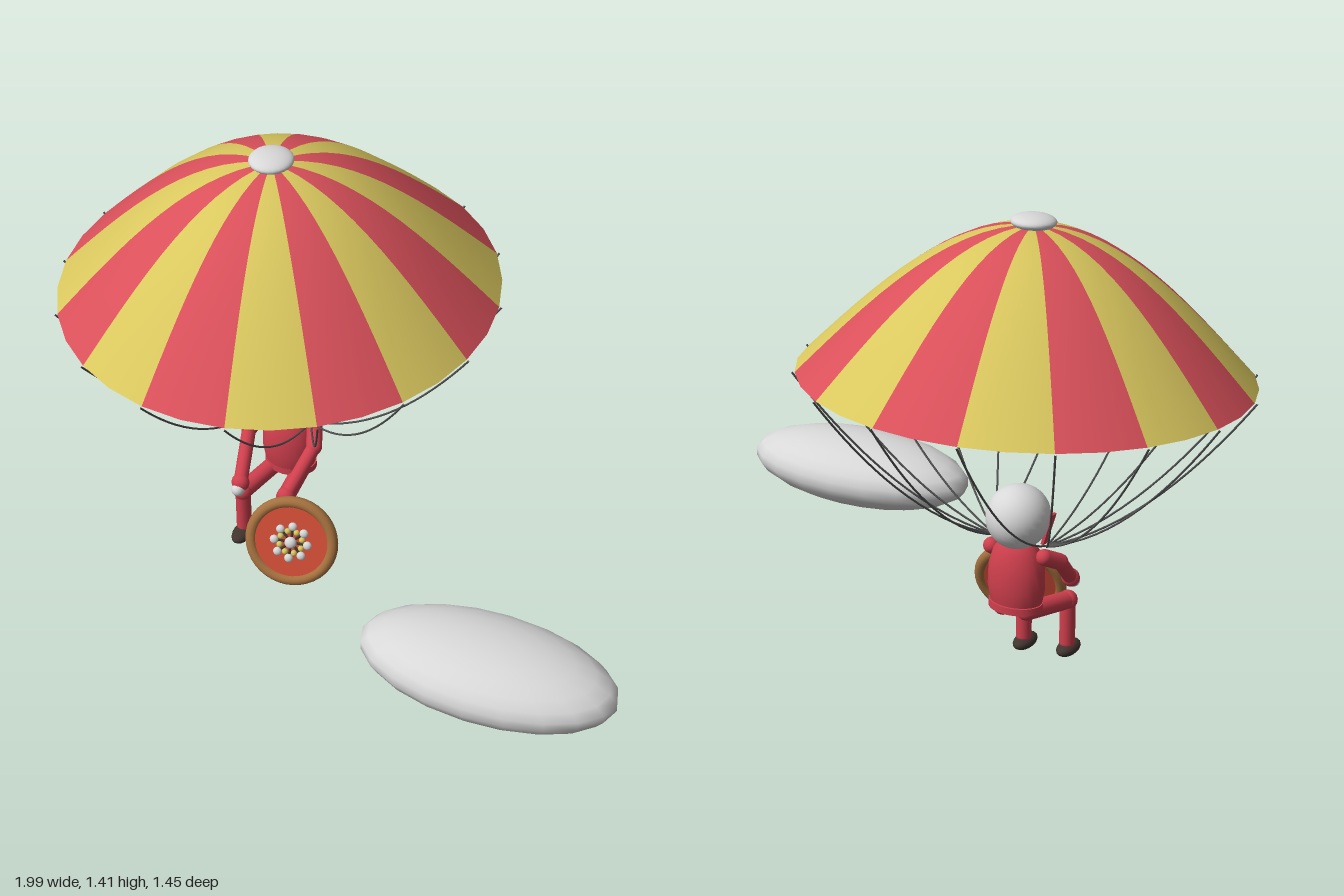
import * as THREE from 'three';

const V = (x, y, z) => new THREE.Vector3(x, y, z);
const mat = (name, color, side = THREE.FrontSide) => {
  const m = new THREE.MeshStandardMaterial({ color, side });
  m.name = name;
  return m;
};

export function createModel() {
  const M = {
    red: mat('canopy red', 0xd9505a, THREE.DoubleSide),
    yellow: mat('canopy yellow', 0xd9c75e, THREE.DoubleSide),
    white: mat('soft white', 0xd8d8d8),
    suit: mat('suit red', 0xcf3f4d),
    cord: mat('cord grey', 0x555555),
    dark: mat('dark brown', 0x41352f),
    wood: mat('shield brown', 0xa5713f),
    shield: mat('shield orange', 0xcf4b36),
  };
  const root = new THREE.Group();
  root.name = 'parachutist';

  const add = (parent, name, geo, material, pos) => {
    const mesh = new THREE.Mesh(geo, material);
    mesh.name = name;
    if (pos) mesh.position.copy(pos);
    parent.add(mesh);
    return mesh;
  };
  const ball = (parent, name, material, pos, rx, ry = rx, rz = rx, seg = 24) => {
    const mesh = add(parent, name, new THREE.SphereGeometry(1, seg, Math.round(seg * 0.67)), material, pos);
    mesh.scale.set(rx, ry, rz);
    return mesh;
  };
  // Rounded limb between two points
  const limb = (parent, name, material, a, b, r) => {
    const mesh = add(parent, name, new THREE.CapsuleGeometry(r, a.distanceTo(b), 6, 14), material,
      a.clone().add(b).multiplyScalar(0.5));
    mesh.quaternion.setFromUnitVectors(V(0, 1, 0), b.clone().sub(a).normalize());
    return mesh;
  };

  // Canopy: sixteen gores on a slightly tilted dome
  const R = 0.665, H = 0.442, GORES = 16, step = Math.PI * 2 / GORES;
  const canopy = new THREE.Group();
  canopy.name = 'canopy';
  canopy.position.set(-0.331, 0.932, -0.065);
  canopy.rotation.set(0.049, 0.016, 0.01);
  root.add(canopy);
  const profile = [];
  for (let i = 0; i <= 14; i++) {
    const t = 1 - i / 14;
    profile.push(new THREE.Vector2(Math.max(R * t, 0.001), H * Math.cos(t * Math.PI / 2)));
  }
  for (let i = 0; i < GORES; i++) {
    add(canopy, 'gore', new THREE.LatheGeometry(profile, 2, (i - 0.5) * step, step),
      i % 2 ? M.yellow : M.red);
  }
  ball(canopy, 'crownCap', M.white, V(0, H + 0.01, 0), 0.067, 0.023, 0.067);

  // Cords sag from the rim down to the two shoulders
  canopy.updateMatrix();
  const cords = new THREE.Group();
  cords.name = 'cords';
  root.add(cords);
  for (let i = 0; i < GORES; i++) {
    const a = (i + 0.5) * step;
    const rim = V(Math.sin(a) * R * 1.012, 0, Math.cos(a) * R * 1.012).applyMatrix4(canopy.matrix);
    const end = V(-0.33 + Math.sign(Math.sin(a)) * 0.085, 0.415, -0.085);
    const mid = rim.clone().lerp(end, 0.5);
    mid.y -= 0.16;
    add(cords, 'cord', new THREE.TubeGeometry(new THREE.QuadraticBezierCurve3(rim, mid, end), 16, 0.0032, 5), M.cord);
  }

  // Hanging disc and cloud
  ball(root, 'sunDisc', M.yellow, V(-0.42, 0.9, 0.42), 0.09, 0.09, 0.022).rotation.x = -0.13;
  ball(root, 'cloud', M.white, V(0.6, 0.235, 0.527), 0.396, 0.113, 0.2, 20);

  // Seated rider, built about its own centre line
  const rider = new THREE.Group();
  rider.name = 'rider';
  rider.position.x = -0.328;
  root.add(rider);
  const torso = [[0.001, 0.195], [0.066, 0.2], [0.08, 0.225], [0.09, 0.28], [0.088, 0.34], [0.072, 0.395],
    [0.045, 0.43], [0.001, 0.44]].map(p => new THREE.Vector2(...p));
  add(rider, 'torso', new THREE.LatheGeometry(torso, 24), M.suit, V(0, 0, -0.105)).scale.z = 0.75;
  const belt = add(rider, 'belt', new THREE.CylinderGeometry(0.085, 0.085, 0.022, 24), M.suit, V(0, 0.22, -0.108));
  belt.scale.z = 0.76;
  ball(rider, 'head', M.white, V(0, 0.497, -0.098), 0.096, 0.097, 0.101, 28);

  for (const s of [-1, 1]) {
    // Goggles and side flaps
    const ring = add(rider, 'goggleRim', new THREE.TorusGeometry(0.025, 0.007, 8, 20), M.dark,
      V(s * 0.036 - 0.006, 0.474, -0.008));
    ring.scale.y = 0.75;
    ring.rotation.y = s * 0.35;
    ball(rider, 'goggleLens', M.wood, V(s * 0.036 - 0.006, 0.474, -0.012), 0.023, 0.017, 0.008, 16).rotation.y = s * 0.35;
    const flap = add(rider, 'helmetFlap', new THREE.BoxGeometry(0.009, 0.1, 0.026), M.suit,
      V(s * 0.087, 0.466, -0.073));
    flap.rotation.set(0.1, 0, s * -0.25);

    // Arms reach forward, the left one behind the shield
    const shoulder = V(s * 0.088, 0.385, -0.1);
    const elbow = V(s * 0.112, 0.355, -0.045);
    const hand = V(s > 0 ? 0.075 : -0.082, 0.245, 0.085);
    limb(rider, 'upperArm', M.suit, shoulder, elbow, 0.025);
    limb(rider, 'forearm', M.suit, elbow, hand, 0.022);
    ball(rider, 'cuff', M.suit, hand, 0.029, 0.029, 0.026, 16);
    ball(rider, 'hand', M.white, hand.clone().add(V(0, -0.016, 0.018)), 0.021, 0.021, 0.021, 16);

    // Legs bent at the knee
    const hip = V(s * 0.04, 0.205, -0.115);
    const knee = V(s > 0 ? 0.045 : -0.09, 0.185, s > 0 ? 0.03 : 0.055);
    const ankle = knee.clone().setY(0.045);
    limb(rider, 'thigh', M.suit, hip, knee, 0.028);
    limb(rider, 'shin', M.suit, knee, ankle, 0.024);
    ball(rider, 'kneeJoint', M.suit, knee, 0.03, 0.03, 0.03, 16);
    ball(rider, 'shoe', M.dark, V(ankle.x, 0.022, ankle.z + 0.01), 0.031, 0.022, 0.056, 18);
  }

  // Round shield with a beaded rosette
  const shield = new THREE.Group();
  shield.name = 'shield';
  shield.position.set(-0.194, 0.15, 0.172);
  shield.rotation.set(-0.34, 0.2, 0);
  root.add(shield);
  add(shield, 'shieldRim', new THREE.TorusGeometry(0.129, 0.018, 12, 40), M.wood);
  add(shield, 'shieldFace', new THREE.CylinderGeometry(0.122, 0.122, 0.02, 40), M.shield).rotation.x = Math.PI / 2;
  ball(shield, 'rosetteCentre', M.white, V(0, 0, 0.016), 0.019, 0.019, 0.014, 16);
  for (let i = 0; i < 8; i++) {
    const a = i * Math.PI / 4, b = a + Math.PI / 8;
    ball(shield, 'rosetteBead', M.white, V(Math.cos(a) * 0.053, Math.sin(a) * 0.053, 0.014), 0.014, 0.014, 0.01, 12);
    ball(shield, 'rosetteStud', M.yellow, V(Math.cos(b) * 0.037, Math.sin(b) * 0.037, 0.012), 0.01, 0.01, 0.009, 12);
    limb(shield, 'rosetteSpoke', M.dark, V(Math.cos(a) * 0.02, Math.sin(a) * 0.02, 0.011),
      V(Math.cos(a) * 0.044, Math.sin(a) * 0.044, 0.011), 0.004);
  }
  return root;
}
